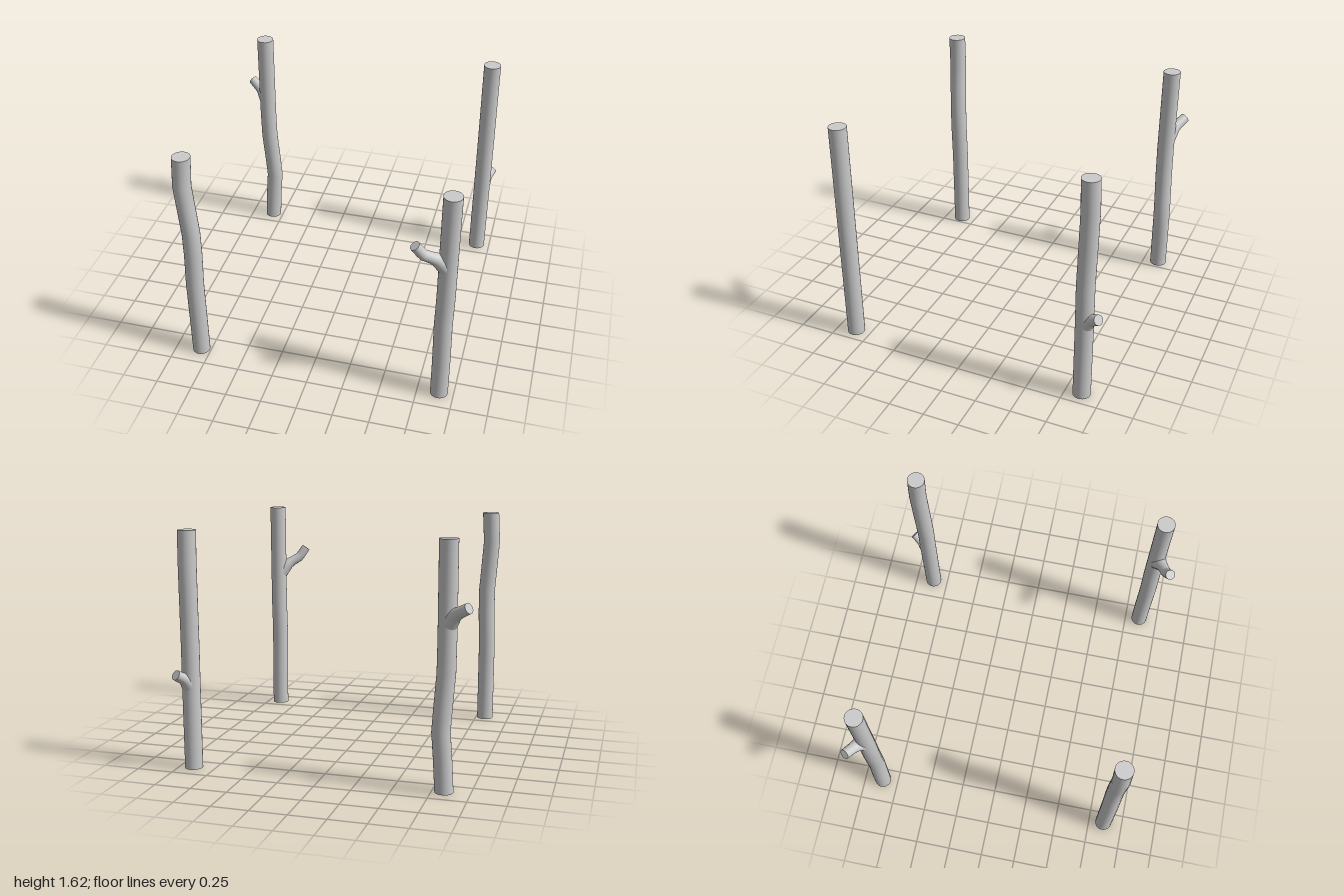
import * as THREE from 'three';

const SIDES = 28;
const material = new THREE.MeshStandardMaterial({ color: 0xcccccc });

// Sweep a round section along [x, y, z, radius] stations, with flat end caps.
// Trunks keep level rings; branches turn their rings along the path.
function limb(name, stations, level) {
  const pts = stations.map(([x, y, z]) => new THREE.Vector3(x, y, z));
  const pos = [], index = [];
  const first = pts[1].clone().sub(pts[0]);
  const side = level
    ? new THREE.Vector3(1, 0, 0)
    : new THREE.Vector3(first.z, 0, -first.x).normalize();
  const ring = (i) => {
    const dir = level
      ? new THREE.Vector3(0, 1, 0)
      : pts[Math.min(i + 1, pts.length - 1)].clone().sub(pts[Math.max(i - 1, 0)]).normalize();
    const u = side.clone().addScaledVector(dir, -side.dot(dir)).normalize();
    const v = dir.clone().cross(u);
    for (let k = 0; k < SIDES; k++) {
      const a = (k / SIDES) * Math.PI * 2, r = stations[i][3];
      const p = pts[i].clone().addScaledVector(u, r * Math.cos(a)).addScaledVector(v, r * Math.sin(a));
      pos.push(p.x, p.y, p.z);
    }
  };
  pts.forEach((_, i) => ring(i));
  for (let i = 0; i < pts.length - 1; i++) {
    for (let k = 0; k < SIDES; k++) {
      const a = i * SIDES + k, b = i * SIDES + (k + 1) % SIDES;
      index.push(a, b, b + SIDES, a, b + SIDES, a + SIDES);
    }
  }
  // caps have their own vertices so the rims stay sharp
  for (const end of [0, pts.length - 1]) {
    const start = pos.length / 3;
    ring(end);
    for (let k = 1; k < SIDES - 1; k++) {
      if (end) index.push(start, start + k, start + k + 1);
      else index.push(start, start + k + 1, start + k);
    }
  }
  const geo = new THREE.BufferGeometry();
  geo.setAttribute('position', new THREE.Float32BufferAttribute(pos, 3));
  geo.setIndex(index);
  geo.computeVertexNormals();
  const mesh = new THREE.Mesh(geo, material);
  mesh.name = name;
  return mesh;
}

const R = 0.061;
const posts = [
  {
    name: 'frontRightPost',
    trunk: [[-0.82, 0, 0.86], [-0.82, 0.6, 0.86], [-0.811, 0.85, 0.86], [-0.811, 1.03, 0.86],
      [-0.825, 1.22, 0.862], [-0.838, 1.4, 0.864], [-0.826, 1.62, 0.86]],
  },
  {
    name: 'frontLeftPost',
    trunk: [[0.9, 0, 0.86], [0.9, 0.28, 0.86], [0.896, 0.6, 0.863], [0.9, 0.85, 0.86], [0.9, 1.62, 0.86]],
    branch: [[0.885, 1.09, 0.868, 0.055], [0.855, 1.135, 0.884, 0.052], [0.825, 1.164, 0.9, 0.042],
      [0.795, 1.184, 0.916, 0.037], [0.753, 1.21, 0.937, 0.036], [0.735, 1.235, 0.946, 0.035],
      [0.7, 1.29, 0.964, 0.034]],
  },
  {
    name: 'backRightPost',
    trunk: [[-0.83, 0, -0.865], [-0.818, 0.22, -0.868], [-0.805, 0.4, -0.871], [-0.815, 0.56, -0.866],
      [-0.83, 0.78, -0.856], [-0.832, 1.0, -0.853], [-0.832, 1.62, -0.857]],
    branch: [[-0.842, 1.09, -0.864, 0.055], [-0.865, 1.132, -0.878, 0.052], [-0.89, 1.158, -0.893, 0.043],
      [-0.915, 1.174, -0.908, 0.038], [-0.978, 1.21, -0.944, 0.035]],
  },
  {
    name: 'backLeftPost',
    trunk: [[0.9, 0, -0.863], [0.9, 0.6, -0.863], [0.9, 0.85, -0.861], [0.898, 1.15, -0.868],
      [0.896, 1.4, -0.873], [0.896, 1.62, -0.867]],
    branch: [[0.903, 0.565, -0.87, 0.055], [0.913, 0.6, -0.888, 0.052], [0.923, 0.622, -0.908, 0.043],
      [0.933, 0.637, -0.928, 0.038], [0.958, 0.668, -0.974, 0.035]],
  },
];

export function createModel() {
  const model = new THREE.Group();
  model.name = 'woodenPosts';
  for (const { name, trunk, branch } of posts) {
    const post = new THREE.Group();
    post.name = name;
    post.add(limb('trunk', trunk.map((p) => [...p, R]), true));
    // side stub flaring out of the trunk
    if (branch) post.add(limb('branchStub', branch, false));
    model.add(post);
  }
  return model;
}
